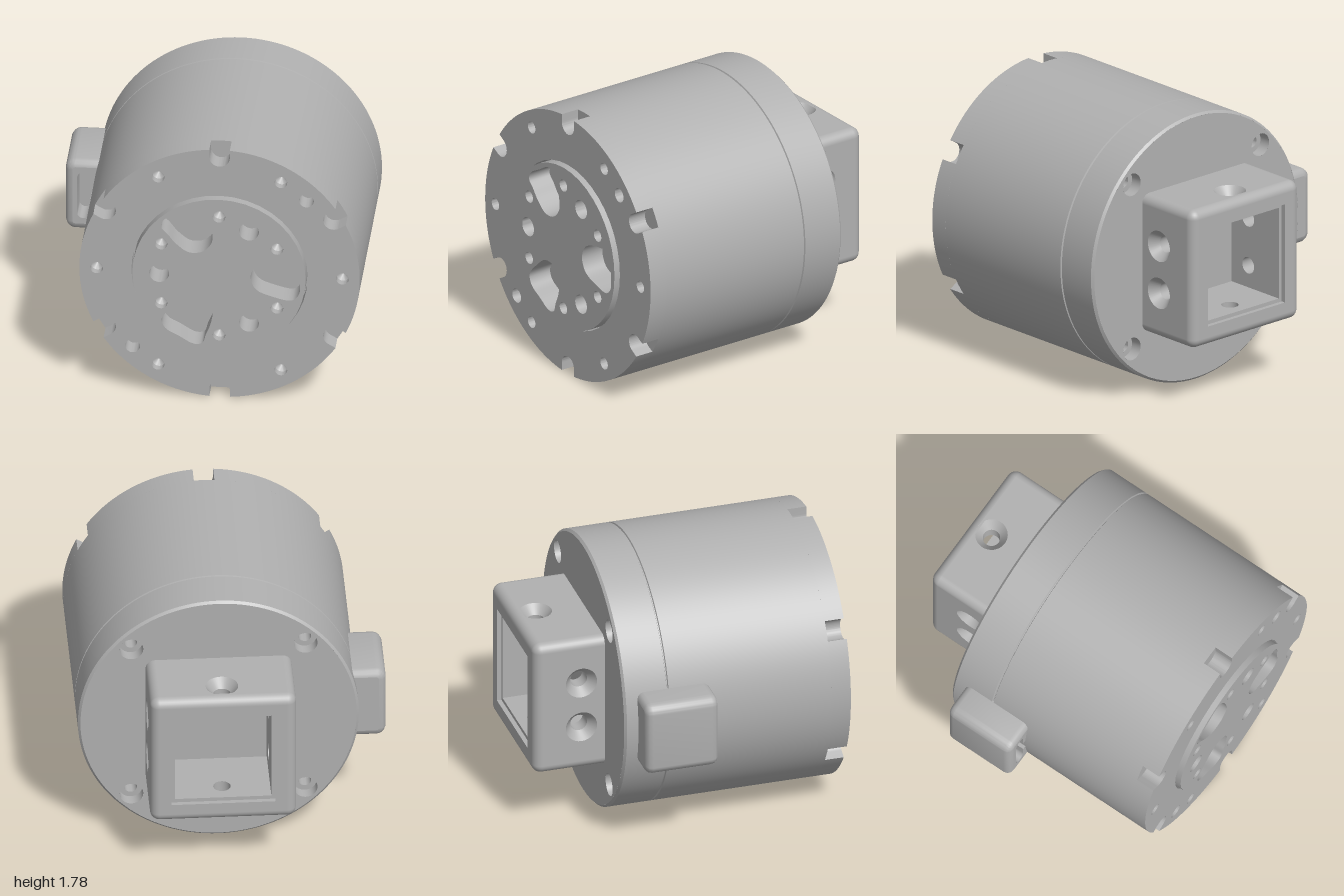
import * as THREE from 'three';
import { toCreasedNormals } from 'three/addons/utils/BufferGeometryUtils.js';

const R = 0.89; // body radius
const metal = new THREE.MeshStandardMaterial({ color: 0xb0b0b0, side: THREE.DoubleSide });
metal.name = 'grey metal';

const rad = THREE.MathUtils.degToRad;
const polar = (r, deg) => [r * Math.cos(rad(deg)), r * Math.sin(rad(deg))];
const six = [0, 1, 2, 3, 4, 5].map(i => i * 60);

function add(parent, name, geo, x = 0, y = 0, z = 0) {
  const mesh = new THREE.Mesh(geo, metal);
  mesh.name = name;
  mesh.position.set(x, y, z);
  parent.add(mesh);
  return mesh;
}

const circle = (x, y, r) => new THREE.Path().absarc(x, y, r, 0, Math.PI * 2, false);

function rect(x0, y0, x1, y1) {
  return new THREE.Shape([[x0, y0], [x1, y0], [x1, y1], [x0, y1]].map(p => new THREE.Vector2(...p)));
}

function roundedRect(x0, y0, x1, y1, r) {
  const s = new THREE.Shape(), q = Math.PI / 2;
  s.absarc(x1 - r, y0 + r, r, -q, 0, false);
  s.absarc(x1 - r, y1 - r, r, 0, q, false);
  s.absarc(x0 + r, y1 - r, r, q, 2 * q, false);
  s.absarc(x0 + r, y0 + r, r, 2 * q, 3 * q, false);
  s.closePath();
  return s;
}

// Revolved profile of [radius, height] pairs with crisp corners
const turned = (pts, seg = 32) =>
  toCreasedNormals(new THREE.LatheGeometry(pts.map(p => new THREE.Vector2(...p)), seg), 0.5);

// Slab running forward from z = 0
const slab = (shape, depth) =>
  toCreasedNormals(new THREE.ExtrudeGeometry(shape, { depth, bevelEnabled: false, curveSegments: 20 }), 0.5);

// Skin joining [points, z] loops of equal length
function loft(loops) {
  const pos = [], index = [], n = loops[0][0].length;
  for (const [pts, z] of loops) for (const p of pts) pos.push(p.x, p.y, z);
  for (let i = 0; i < loops.length - 1; i++) {
    for (let j = 0; j < n; j++) {
      const a = i * n + j, b = i * n + (j + 1) % n;
      index.push(a, b, b + n, a, b + n, a + n);
    }
  }
  const g = new THREE.BufferGeometry();
  g.setAttribute('position', new THREE.Float32BufferAttribute(pos, 3));
  g.setIndex(index);
  return toCreasedNormals(g, 0.6);
}

// Conical bottom of a drilled screw hole
function drillTip(parent, x, y, z) {
  add(parent, 'drillTip', turned([[0.04, -0.05], [0, -0.09]]).rotateX(Math.PI / 2), x, y, z);
}

function buildBody(g) {
  // Housing with the seam groove and the chamfered rear edge
  add(g, 'housing', turned([[0, 0.84], [R, 0.84], [R, -0.23], [R - 0.01, -0.234], [R - 0.01, -0.24],
    [R, -0.244], [R, -0.515], [R - 0.015, -0.53]], 128).rotateX(Math.PI / 2));

  // Front flange with six edge notches
  const flange = new THREE.Shape();
  const half = 0.065, open = Math.asin(half / R);
  for (const d of six) {
    const a = rad(d + 30), [cx, cy] = polar(0.835, d + 30);
    flange.absarc(cx, cy, half, a - Math.PI / 2, a - Math.PI * 1.5, true);
    flange.absarc(0, 0, R, a + open, a + Math.PI / 3 - open, false);
  }
  flange.closePath();
  flange.holes.push(circle(0, 0, 0.56));
  for (const d of six) {
    const [x, y] = polar(0.78, d);
    flange.holes.push(circle(x, y, 0.04));
    drillTip(g, x, y, 0.965);
  }
  for (const d of [45, 225]) flange.holes.push(circle(...polar(0.78, d), 0.047));
  add(g, 'frontFlange', slab(flange, 0.125), 0, 0, 0.84);

  // Output disc with screw holes, pin holes and three pockets
  const disc = new THREE.Shape().absarc(0, 0, 0.55, 0, Math.PI * 2, false);
  for (const d of six) {
    const [x, y] = polar(0.425, d + 30);
    disc.holes.push(circle(x, y, 0.04));
    drillTip(g, x, y, 1);
  }
  for (const d of [60, 180, 300]) disc.holes.push(circle(...polar(0.38, d), 0.063));
  const pocket = [[0.2, 0], [0.235, 0.085], [0.33, 0.128], [0.41, 0.14], [0.475, 0.152], [0.51, 0.11],
    [0.512, 0], [0.51, -0.1], [0.465, -0.152], [0.34, -0.132], [0.235, -0.085]];
  for (const d of [0, 120, 240]) {
    const c = Math.cos(rad(d)), s = Math.sin(rad(d));
    const curve = new THREE.CatmullRomCurve3(
      pocket.map(([x, y]) => new THREE.Vector3(x * c - y * s, x * s + y * c, 0)), true);
    disc.holes.push(new THREE.Path(curve.getPoints(44).map(p => new THREE.Vector2(p.x, p.y))));
  }
  add(g, 'outputDisc', slab(disc, 0.16), 0, 0, 0.84);

  // Rear face with four counterbored holes
  const rear = new THREE.Shape().absarc(0, 0, R - 0.015, 0, Math.PI * 2, false);
  for (const d of [45, 135, 225, 315]) {
    const [x, y] = polar(0.78, d);
    rear.holes.push(circle(x, y, 0.075));
    add(g, 'counterbore', turned([[0.075, 0], [0.075, -0.08], [0.04, -0.08], [0.04, -0.2], [0, -0.2]])
      .rotateX(-Math.PI / 2), x, y, -0.53);
  }
  add(g, 'rearFace', new THREE.ShapeGeometry(rear, 40).rotateY(Math.PI), 0, 0, -0.53);
}

function buildRearSocket(g) {
  const H = 0.4625, r = 0.06, c = H - r, lip = 0.33, inner = 0.305;
  const socket = new THREE.Group();
  socket.name = 'rearSocket';
  g.add(socket);

  for (let k = 0; k < 4; k++) {
    const side = new THREE.Group();
    side.name = 'socketSide';
    side.rotation.z = k * Math.PI / 2;
    socket.add(side);

    // Walls with countersunk holes: one above and below, two on each flank
    const holes = k % 2 ? [[-0.1575, 0.685], [0.1575, 0.685]] : [[0, 0.845]];
    const outerWall = rect(-c, 0.53, c, 1 - r), innerWall = rect(-inner, 0.53, inner, 0.97);
    for (const [x, d] of holes) {
      outerWall.holes.push(circle(x, d, 0.103));
      innerWall.holes.push(circle(x, d, 0.055));
      add(side, 'countersink', turned([[0.103, 0], [0.055, -0.06], [0.055, inner - H]]), x, H, -d);
    }
    add(side, 'outerWall', new THREE.ShapeGeometry(outerWall, 16).rotateX(-Math.PI / 2), 0, H, 0);
    add(side, 'innerWall', new THREE.ShapeGeometry(innerWall, 16).rotateX(Math.PI / 2).scale(1, 1, -1), 0, inner, 0);
    add(side, 'lipWall', new THREE.PlaneGeometry(2 * lip, 0.03).rotateX(Math.PI / 2), 0, lip, -0.985);

    // Rounded edges and corner
    const q = Math.PI / 2;
    add(side, 'longEdge', new THREE.CylinderGeometry(r, r, 0.41, 8, 1, true, 0, q).rotateX(-q), c, c, -0.735);
    add(side, 'rearEdge', new THREE.CylinderGeometry(r, r, 2 * c, 8, 1, true, q, q).rotateZ(q), 0, c, r - 1);
    add(side, 'corner', new THREE.SphereGeometry(r, 8, 8, Math.PI, q, 0, q), c, c, r - 1);
  }

  // Rim and the small step inside the opening
  for (const [name, a, b, z] of [['rim', c, lip, -1], ['innerStep', lip, inner, -0.97]]) {
    const ring = rect(-a, -a, a, a);
    ring.holes.push(rect(-b, -b, b, b));
    add(socket, name, new THREE.ShapeGeometry(ring).rotateY(Math.PI), 0, 0, z);
  }
}

function buildConnector(g) {
  const box = new THREE.Group();
  box.name = 'sideConnector';
  g.add(box);
  const outline = i => roundedRect(-1.0675 + i, -0.245 + i, -0.77, 0.25 - i, 0.065 - i);

  // Rounded shell
  const stages = [[0.045, -0.44], [0.022, -0.434], [0.006, -0.418], [0, -0.395],
    [0, -0.005], [0.006, 0.018], [0.022, 0.034], [0.045, 0.04]];
  add(box, 'connectorShell', loft(stages.map(([i, z]) => [outline(i).getPoints(6), z])));
  add(box, 'connectorBack', new THREE.ShapeGeometry(outline(0.045), 6).rotateY(Math.PI).scale(-1, 1, 1), 0, 0, -0.44);

  // Front face with a keyed slot
  const slot = new THREE.Shape();
  slot.absarc(-0.953, 0.13, 0.04, 0, Math.PI, false);
  slot.absarc(-0.953, -0.12, 0.04, Math.PI, Math.PI * 2, false);
  for (const [x, y] of [[-0.913, -0.05], [-0.875, -0.05], [-0.875, 0.055], [-0.913, 0.055]]) slot.lineTo(x, y);
  slot.closePath();
  const face = outline(0.045);
  face.holes.push(slot);
  add(box, 'connectorFace', new THREE.ShapeGeometry(face, 6), 0, 0, 0.04);
  const pts = slot.getPoints(6);
  add(box, 'slotWall', loft([[pts, 0.04], [pts, -0.12]]));
  add(box, 'slotFloor', new THREE.ShapeGeometry(slot, 6), 0, 0, -0.12);
}

export function createModel() {
  const model = new THREE.Group();
  model.name = 'actuator';
  const g = new THREE.Group();
  g.name = 'actuatorParts';
  g.position.set(0.0875, R, 0);
  model.add(g);
  buildBody(g);
  buildRearSocket(g);
  buildConnector(g);
  return model;
}
